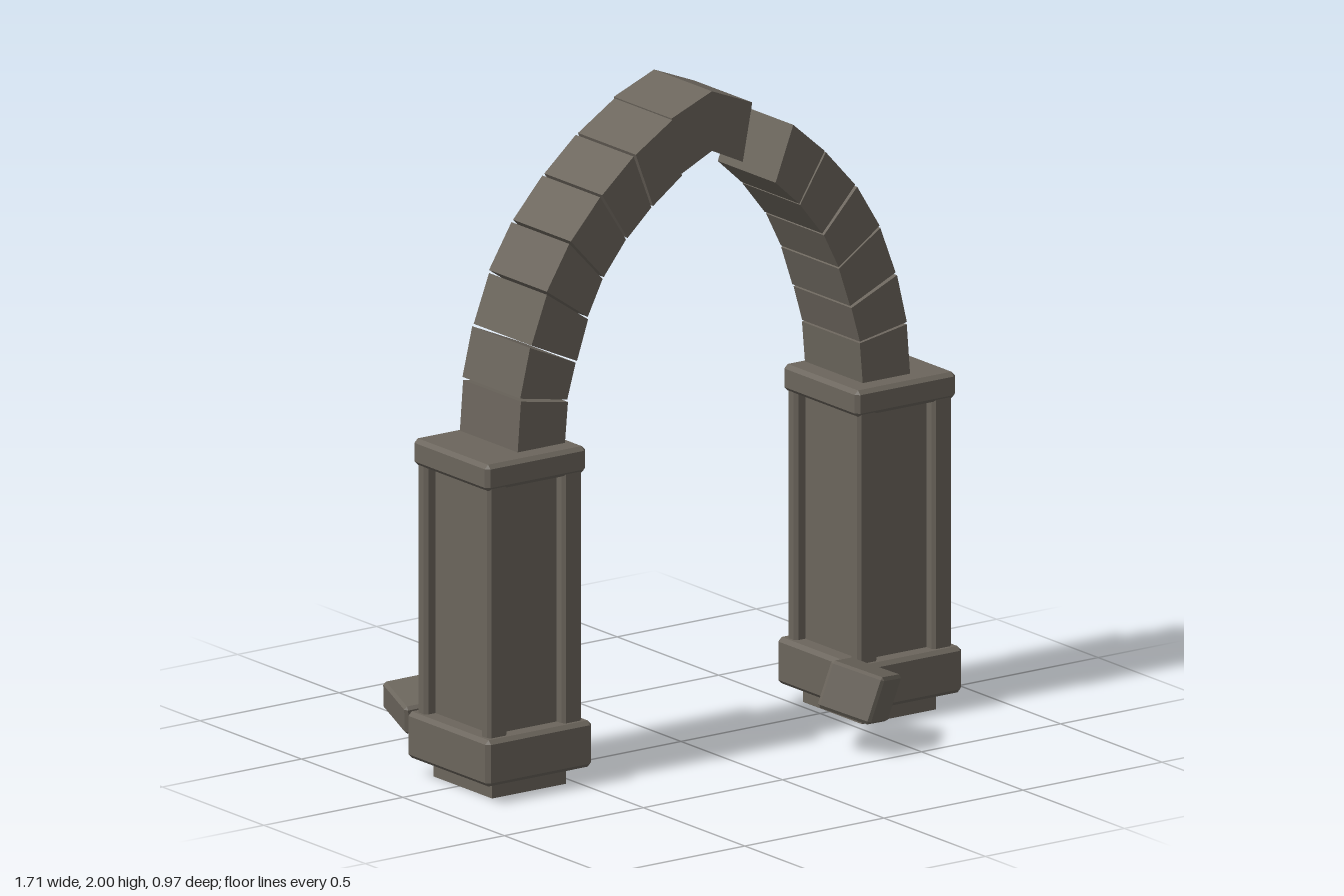
import * as THREE from 'three';
import { ConvexGeometry } from 'three/addons/geometries/ConvexGeometry.js';

const stone = new THREE.MeshStandardMaterial({ color: 0x6b655c });
stone.name = 'weathered stone';

const Z0 = 0.018; // depth centre of the gateway

function add(parent, name, geometry, x = 0, y = 0, z = 0) {
  const mesh = new THREE.Mesh(geometry, stone);
  mesh.name = name;
  mesh.position.set(x, y, z);
  parent.add(mesh);
  return mesh;
}

// Box with every edge chamfered by c
function chamferBox(w, h, d, c) {
  const points = [];
  for (const sx of [-1, 1]) for (const sy of [-1, 1]) for (const sz of [-1, 1]) {
    for (let axis = 0; axis < 3; axis++) {
      const p = [w / 2 - c, h / 2 - c, d / 2 - c];
      p[axis] += c;
      points.push(new THREE.Vector3(sx * p[0], sy * p[1], sz * p[2]));
    }
  }
  return new ConvexGeometry(points);
}

function makePillar(name, x) {
  const pillar = new THREE.Group();
  pillar.name = name;
  pillar.position.set(x, 0, Z0);
  add(pillar, 'shaft', new THREE.BoxGeometry(0.266, 1.0, 0.29), 0, 0.5);
  add(pillar, 'plinth', chamferBox(0.38, 0.14, 0.402, 0.012), 0, 0.124);
  add(pillar, 'capital', chamferBox(0.36, 0.08, 0.37, 0.012), 0, 0.981);
  for (const sx of [-1, 1]) for (const sz of [-1, 1]) {
    add(pillar, 'cornerPost', chamferBox(0.07, 0.8, 0.045, 0.01), sx * 0.134, 0.565, sz * 0.156);
  }
  return pillar;
}

// Arch joints on the right half, from springing to crown
const outer = [[0.705, 1.03], [0.693, 1.185], [0.656, 1.34], [0.598, 1.492], [0.513, 1.63],
  [0.402, 1.752], [0.283, 1.855], [0.145, 1.942], [0, 2]];
const inner = [[0.535, 1.03], [0.524, 1.155], [0.492, 1.267], [0.45, 1.392], [0.394, 1.503],
  [0.31, 1.608], [0.22, 1.69], [0.111, 1.768], [0, 1.82]];

function archStone(parent, name, points, zOffset) {
  const depth = 0.285;
  const shape = new THREE.Shape(points.map(([x, y]) => new THREE.Vector2(x, y)));
  const geometry = new THREE.ExtrudeGeometry(shape, { depth, bevelEnabled: false });
  add(parent, name, geometry, 0, 0, 0.016 + zOffset - depth / 2);
}

function makeArch() {
  const arch = new THREE.Group();
  arch.name = 'brokenArch';
  const mix = (a, b, t) => [a[0] + (b[0] - a[0]) * t, a[1] + (b[1] - a[1]) * t];
  const shifts = {
    '-1': [0.003, -0.002, 0.002, -0.003, -0.002, 0, 0.002],
    '1': [0.004, 0.006, 0.002, 0.004, 0.001, 0.003],
  };
  // The right half lacks the stone beside the keystone
  for (const side of [-1, 1]) {
    shifts[side].forEach((shift, i) => {
      const g = 0.025;
      const start = i === 0 ? 0 : g;
      const points = [
        mix(outer[i], outer[i + 1], start), mix(outer[i], outer[i + 1], 1 - g),
        mix(inner[i], inner[i + 1], 1 - g), mix(inner[i], inner[i + 1], start),
      ].map(([x, y]) => [x * side, y]);
      archStone(arch, 'archStone', points, shift);
    });
  }
  const flip = ([x, y]) => [-x, y];
  archStone(arch, 'keystone',
    [flip(outer[7]), outer[8], outer[7], inner[7], inner[8], flip(inner[7])], -0.006);
  return arch;
}

// Fallen block oriented by its width direction a and depth direction b
function fallenBlock(parent, size, centre, a, b) {
  const x = new THREE.Vector3(...a).normalize();
  const y = new THREE.Vector3(...b).cross(x).normalize();
  const z = new THREE.Vector3().crossVectors(x, y);
  const mesh = add(parent, 'fallenBlock', chamferBox(...size, 0.009), ...centre);
  mesh.quaternion.setFromRotationMatrix(new THREE.Matrix4().makeBasis(x, y, z));
}

export function createModel() {
  const model = new THREE.Group();
  model.name = 'ruinedArchway';
  model.add(makePillar('leftPillar', 0.665), makePillar('rightPillar', -0.665), makeArch());

  const rubble = new THREE.Group();
  rubble.name = 'rubble';
  fallenBlock(rubble, [0.168, 0.145, 0.215], [0.385, 0.169, 0.352], [0.09, -0.04, 0.125], [-0.154, 0.045, 0.135]);
  fallenBlock(rubble, [0.13, 0.09, 0.185], [-0.68, 0.14, -0.38], [0.12, 0.012, 0.033], [-0.05, -0.035, 0.17]);
  fallenBlock(rubble, [0.1, 0.065, 0.133], [-0.46, 0.138, -0.365], [0.09, 0.03, 0.025], [-0.04, -0.018, 0.13]);
  model.add(rubble);
  return model;
}
